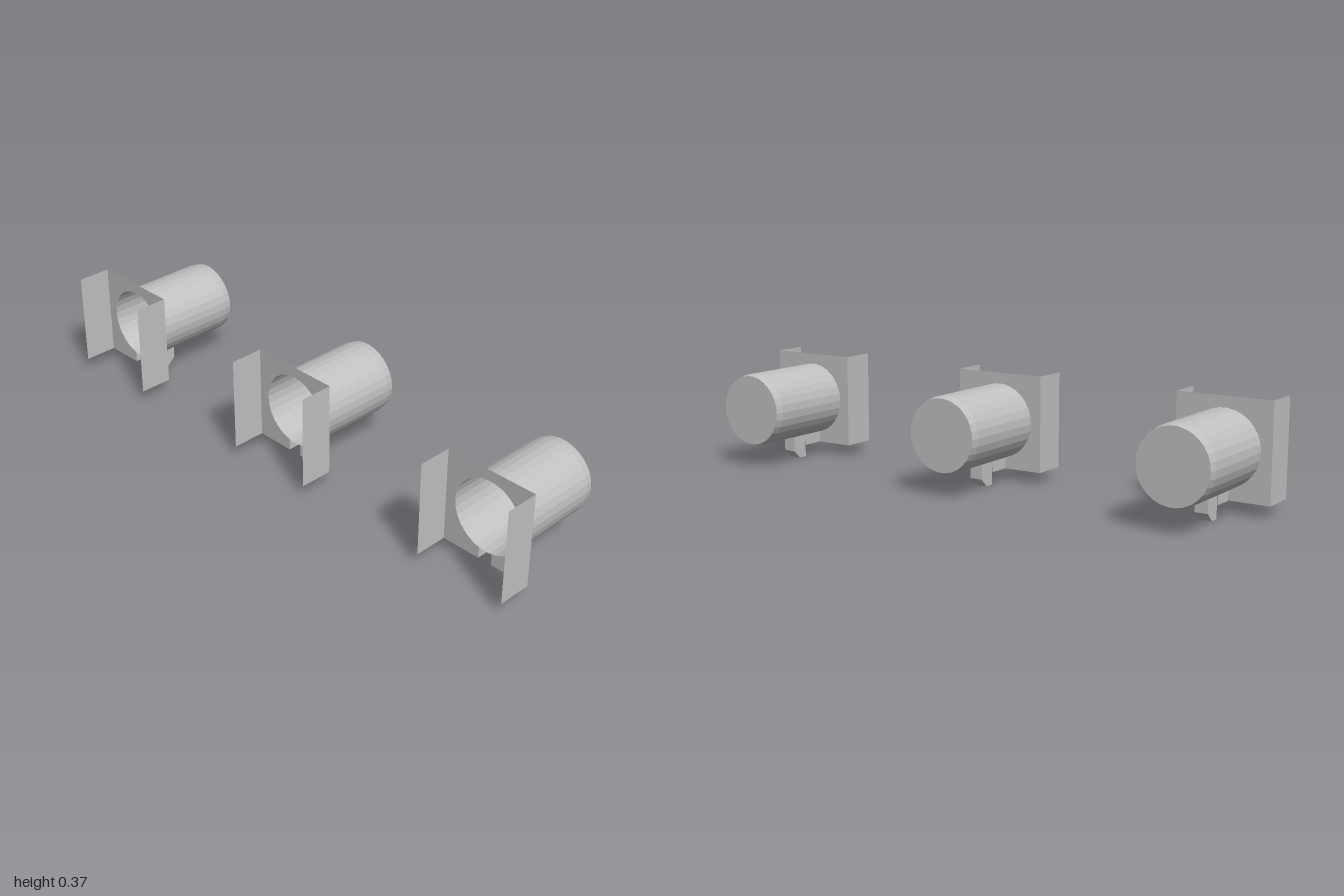
import * as THREE from 'three';

const HALF = 0.165, RADIUS = 0.128, SLOT = 0.025, CENTRE_Y = 0.208;

export function createModel() {
  const grey = new THREE.MeshStandardMaterial({ color: 0xc0c0c0, flatShading: true, side: THREE.DoubleSide });
  grey.name = 'light grey';

  // Square face plate with a round opening that runs into a slot at the bottom
  const slotAngle = Math.asin(SLOT / RADIUS);
  const face = new THREE.Shape();
  face.moveTo(-SLOT, -HALF);
  face.lineTo(-HALF, -HALF);
  face.lineTo(-HALF, HALF);
  face.lineTo(HALF, HALF);
  face.lineTo(HALF, -HALF);
  face.lineTo(SLOT, -HALF);
  face.absarc(0, 0, RADIUS, -Math.PI / 2 + slotAngle, 1.5 * Math.PI - slotAngle, false);
  face.closePath();
  const faceGeo = new THREE.ShapeGeometry(face, 30);

  // Cup with a slightly tapered, closed end
  const cupProfile = [[RADIUS, -0.11], [RADIUS, 0.203], [0.123, 0.23], [0, 0.23]]
    .map(([r, y]) => new THREE.Vector2(r, y));
  const cupGeo = new THREE.LatheGeometry(cupProfile, 30, Math.PI / 2).rotateX(-Math.PI / 2);

  // Hook outline in (z, y), extruded across x
  const hook = new THREE.Shape([[0.031, 0.081], [0.031, 0], [-0.002, 0], [-0.03, 0.028], [-0.03, 0.081]]
    .map(([z, y]) => new THREE.Vector2(-z, y)));
  const hookGeo = new THREE.ExtrudeGeometry(hook, { depth: 2 * SLOT - 0.004, bevelEnabled: false })
    .translate(0, 0, -SLOT + 0.002).rotateY(Math.PI / 2);

  const flapGeo = new THREE.PlaneGeometry(0.12, 2 * HALF).rotateY(Math.PI / 2);
  const slotWallGeo = new THREE.PlaneGeometry(0.079, 0.0395).rotateY(Math.PI / 2);

  const model = new THREE.Group();
  model.name = 'socketRow';

  // Three identical sockets side by side
  for (const x of [-0.835, 0, 0.835]) {
    const socket = new THREE.Group();
    socket.name = 'socket';
    socket.position.x = x;
    const add = (name, geo, px, py, pz) => {
      const mesh = new THREE.Mesh(geo, grey);
      mesh.name = name;
      mesh.position.set(px, py, pz);
      socket.add(mesh);
    };
    add('facePlate', faceGeo, 0, CENTRE_Y, 0.11);
    add('cup', cupGeo, 0, CENTRE_Y, 0);
    add('hook', hookGeo, 0, 0, 0);
    for (const [side, s] of [['left', 1], ['right', -1]]) {
      add(side + 'Flap', flapGeo, s * HALF, CENTRE_Y, 0.17);
      add(side + 'SlotWall', slotWallGeo, s * SLOT, 0.0628, 0.0705);
    }
    model.add(socket);
  }
  return model;
}
